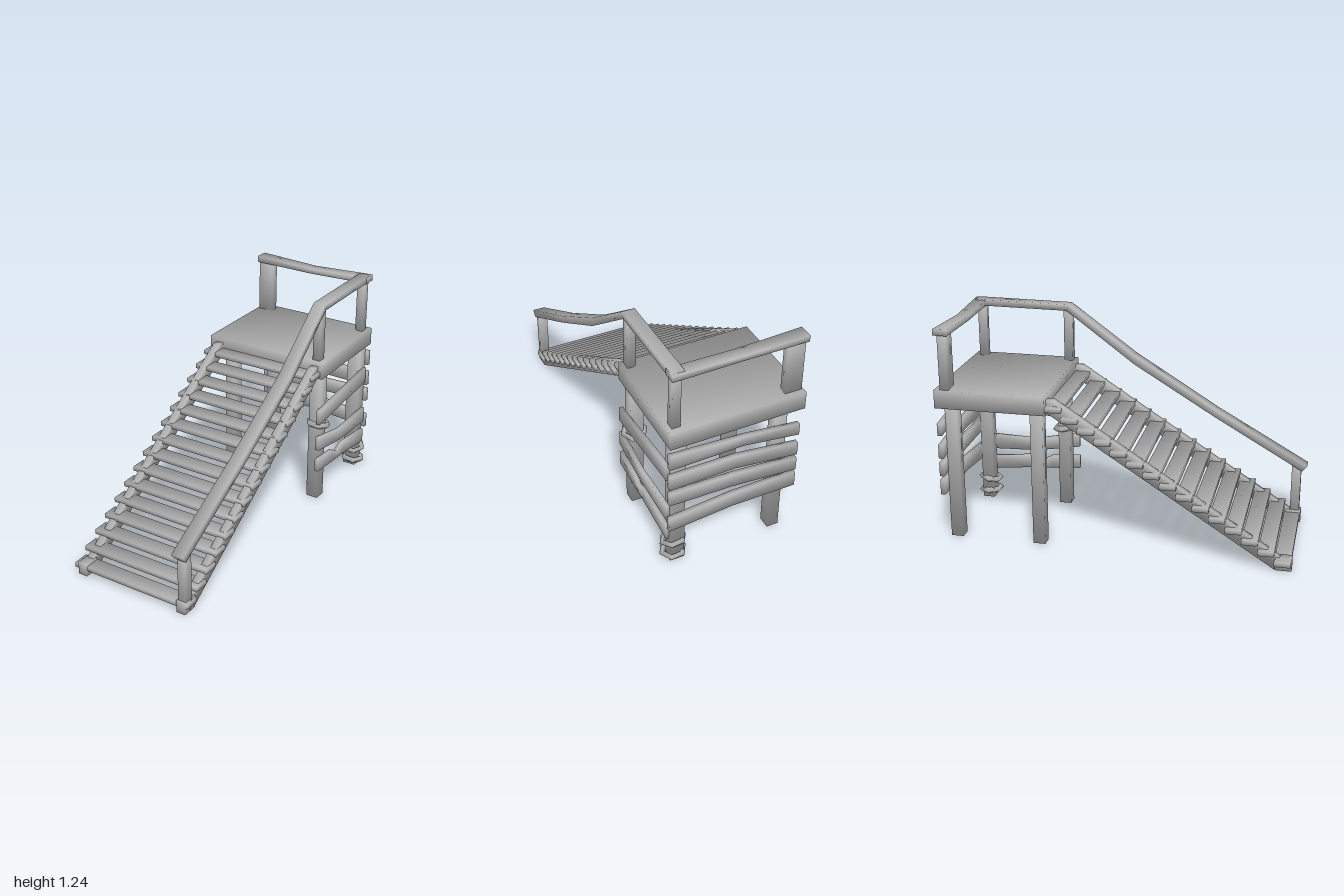
import * as THREE from 'three';

const wood = new THREE.MeshStandardMaterial({ color: 0xb4b4b4 });
wood.name = 'weathered grey';

// Soft corners: every corner normal is the plain average of its distinct faces
function soften(geometry) {
  const g = geometry.index ? geometry.toNonIndexed() : geometry;
  g.deleteAttribute('normal');
  g.computeVertexNormals();
  const p = g.attributes.position, n = g.attributes.normal, corners = new Map();
  const key = i => [p.getX(i), p.getY(i), p.getZ(i)].map(v => Math.round(v * 1e4)).join();
  for (let i = 0; i < p.count; i++) {
    const v = new THREE.Vector3().fromBufferAttribute(n, i);
    const list = corners.get(key(i)) ?? [];
    if (!list.some(o => o.dot(v) > 0.98)) list.push(v);
    corners.set(key(i), list);
  }
  for (let i = 0; i < p.count; i++) {
    const s = new THREE.Vector3();
    corners.get(key(i)).forEach(v => s.add(v));
    s.normalize();
    n.setXYZ(i, s.x, s.y, s.z);
  }
  return g;
}

// Solid skinned over a series of matching closed sections, with end caps
function loft(rings) {
  const k = rings[0].length, tris = [];
  for (let r = 0; r < rings.length - 1; r++)
    for (let i = 0; i < k; i++) {
      const j = (i + 1) % k, a = rings[r], b = rings[r + 1];
      tris.push([a[i], a[j], b[j]], [a[i], b[j], b[i]]);
    }
  const first = rings[0], last = rings[rings.length - 1];
  for (let i = 1; i < k - 1; i++) {
    tris.push([first[0], first[i + 1], first[i]], [last[0], last[i], last[i + 1]]);
  }
  // Turn the faces outward if the sections run the other way round
  let volume = 0;
  for (const [a, b, c] of tris) volume += new THREE.Vector3(...a).cross(new THREE.Vector3(...b)).dot(new THREE.Vector3(...c));
  if (volume < 0) tris.forEach(t => t.reverse());
  const g = new THREE.BufferGeometry();
  g.setAttribute('position', new THREE.Float32BufferAttribute(tris.flat(2), 3));
  return soften(g);
}

export function createModel() {
  const model = new THREE.Group();
  model.name = 'wooden staircase with platform';

  const add = (name, geometry) => {
    const mesh = new THREE.Mesh(geometry, wood);
    mesh.name = name;
    model.add(mesh);
    return mesh;
  };
  // Box given by its limits
  const box = (name, x0, x1, y0, y1, z0, z1) => {
    const mesh = add(name, soften(new THREE.BoxGeometry(x1 - x0, y1 - y0, z1 - z0)));
    mesh.position.set((x0 + x1) / 2, (y0 + y1) / 2, (z0 + z1) / 2);
  };

  // Platform and its legs
  box('platform', -0.39, 0.36, 0.797, 0.9, -0.985, -0.37);
  for (const [x, z, w] of [[-0.272, -0.44, 0.066], [-0.272, -0.925, 0.066], [0.303, -0.44, 0.072], [0.3, -0.925, 0.08]])
    box('leg', x - w / 2, x + w / 2, 0, 0.8, z - 0.035, z + 0.035);

  // Stair stringers with a foot block at the bottom
  const profile = [[0.95, 0], [0.88, 0], [-0.37, 0.8], [-0.37, 0.872], [-0.33, 0.872], [0.95, 0.045]];
  for (const [x0, x1] of [[-0.345, -0.305], [0.292, 0.332]]) {
    add('stringer', loft([x0, x1].map(x => profile.map(([z, y]) => [x, y, z]))));
    box('stringerFoot', x0 - 0.008, x1 + 0.006, 0, 0.072, 0.885, 0.975);
  }

  // Treads
  for (let i = 0; i < 15; i++) {
    const y = 0.045 + i * 0.0558, z = 0.925 - i * 0.0896;
    box('tread', -0.38, 0.347, y - 0.013, y + 0.013, z - 0.045, z + 0.045);
  }

  // Railing posts
  box('stairPost', 0.29, 0.338, 0, 0.36, 0.912, 0.965);
  box('frontPost', 0.289, 0.335, 0.89, 1.21, -0.435, -0.385);
  box('backPost', 0.29, 0.337, 0.89, 1.21, -0.952, -0.905);
  box('cornerPost', -0.38, -0.286, 0.89, 1.21, -0.952, -0.905);

  // Side handrail: x centre, then z and y of its top and bottom edges
  const sideRail = [
    [0.312, 1.0, 0.357, 0.972, 0.322],
    [0.318, 0.46, 0.66, 0.46, 0.613],
    [0.321, -0.02, 0.955, -0.02, 0.902],
    [0.312, -0.4, 1.235, -0.415, 1.2],
    [0.312, -0.96, 1.24, -0.96, 1.204],
  ];
  add('sideHandrail', loft(sideRail.map(([x, zt, yt, zb, yb]) =>
    [[x - 0.035, yt, zt], [x + 0.035, yt, zt], [x + 0.035, yb, zb], [x - 0.035, yb, zb]])));

  // Back handrail, sagging in the middle: x, bottom, top, back z, front z
  const backRail = [
    [-0.387, 1.205, 1.24, -0.972, -0.892],
    [-0.02, 1.198, 1.226, -0.965, -0.895],
    [0.35, 1.203, 1.238, -0.978, -0.905],
  ];
  add('backHandrail', loft(backRail.map(([x, b, t, z0, z1]) =>
    [[x, b, z0], [x, t, z0], [x, t, z1], [x, b, z1]])));

  // Crooked side planks: z, bottom, top
  const sidePlanks = [
    [[-0.365, 0.512, 0.598], [-0.94, 0.56, 0.655]],
    [[-0.365, 0.345, 0.43], [-0.63, 0.3, 0.374], [-0.945, 0.29, 0.385]],
    [[-0.365, 0.205, 0.285], [-0.54, 0.192, 0.27], [-0.6, 0.188, 0.237], [-0.67, 0.185, 0.265], [-0.945, 0.155, 0.238]],
  ];
  for (const plank of sidePlanks)
    add('sidePlank', loft(plank.map(([z, b, t]) =>
      [[0.337, b, z], [0.337, t, z], [0.359, t, z], [0.359, b, z]])));

  // Crooked back planks: x, bottom, top
  const backPlanks = [
    [[-0.37, 0.63, 0.7], [-0.05, 0.675, 0.735], [0.36, 0.665, 0.755]],
    [[-0.37, 0.495, 0.575], [0, 0.54, 0.62], [0.36, 0.53, 0.62]],
    [[-0.37, 0.39, 0.47], [0, 0.42, 0.5], [0.36, 0.425, 0.505]],
    [[-0.37, 0.28, 0.37], [0, 0.28, 0.365], [0.36, 0.245, 0.33]],
  ];
  for (const plank of backPlanks)
    add('backPlank', loft(plank.map(([x, b, t]) =>
      [[x, b, -0.958], [x, t, -0.958], [x, t, -0.985], [x, b, -0.985]])));

  // Tilted bindings around the legs
  const bindings = [[0.48, -0.445, 0.16, 0.05], [0.117, -0.922, -0.2, 0.08], [0.04, -0.922, 0.04, 0.08]];
  for (const [y, z, tiltX, tiltZ] of bindings) {
    const ring = new THREE.TorusGeometry(0.058, 0.018, 4, 6).rotateX(Math.PI / 2);
    const mesh = add('legBinding', soften(ring));
    mesh.position.set(0.308, y, z);
    mesh.rotation.set(-tiltX, 0, -tiltZ);
  }

  return model;
}
